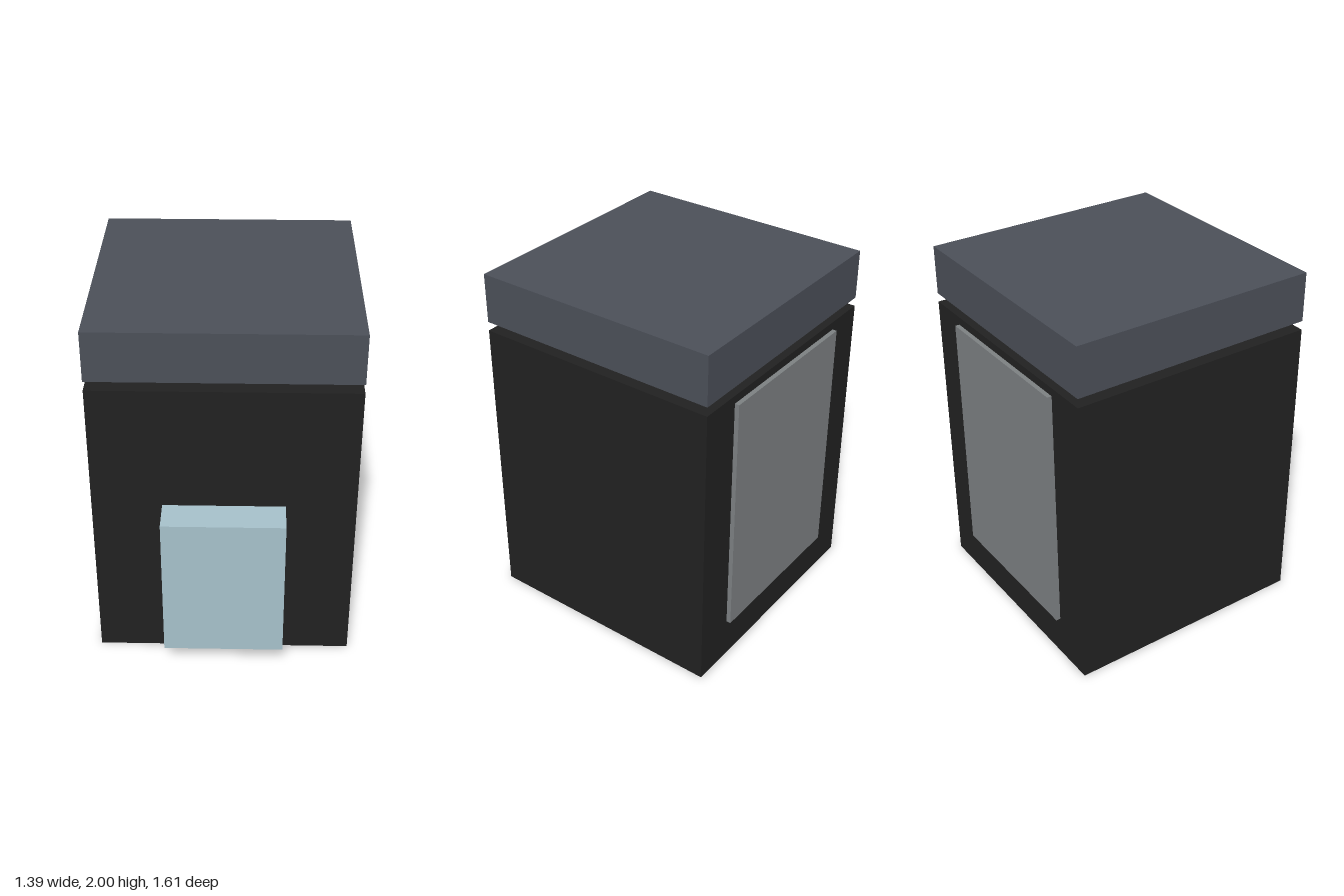
import * as THREE from 'three';

const material = (name, color) => {
  const m = new THREE.MeshStandardMaterial({ color });
  m.name = name;
  return m;
};

export function createModel() {
  const group = new THREE.Group();
  group.name = 'lidded box';

  const black = material('black', 0x212121);
  const slate = material('slate grey', 0x4b4f58);
  const paleBlue = material('pale blue', 0xa6c0ca);
  const grey = material('grey', 0x7c8082);

  // Box centred on x, spanning y0..y1 and z0..z1
  const addBox = (name, mat, width, y0, y1, z0, z1) => {
    const mesh = new THREE.Mesh(new THREE.BoxGeometry(width, y1 - y0, z1 - z0), mat);
    mesh.name = name;
    mesh.position.set(0, (y0 + y1) / 2, (z0 + z1) / 2);
    group.add(mesh);
  };

  const front = 0.617, back = -0.778;
  addBox('body', black, 1.395, 0, 1.675, back, front);
  // Lid floats just above the body
  addBox('lid', slate, 1.395, 1.725, 2, back, front);
  addBox('frontBox', paleBlue, 0.65, 0.14, 0.98, front, 0.803);
  addBox('backPanel', grey, 0.93, 0.235, 1.63, -0.803, back);

  return group;
}
